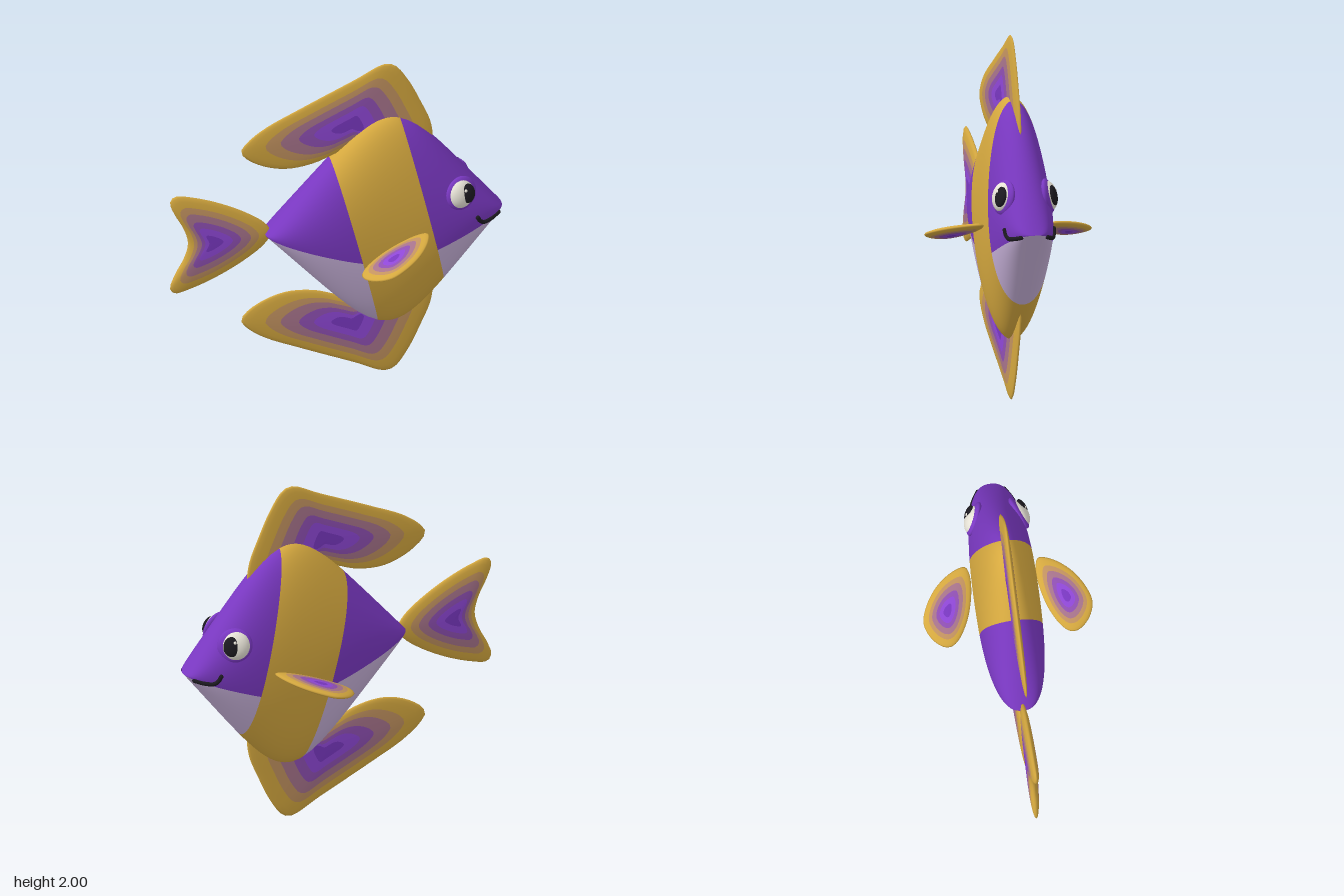
import * as THREE from 'three';

const mat = (name, color) => Object.assign(new THREE.MeshStandardMaterial({ color }), { name });
const gold = mat('gold', 0xd6a93f);
const tan = mat('tan', 0xc39360);
const mauve = mat('mauve', 0xa8748c);
const violet = mat('violet', 0x9050b4);
const bright = mat('brightPurple', 0x9048d8);
const purple = mat('purple', 0x7a38c2);
const lavender = mat('lavender', 0xc6b0d8);
const white = mat('eyeWhite', 0xe8e4d8);
const black = mat('black', 0x1c1a20);

function mesh(name, geometry, material) {
  const m = new THREE.Mesh(geometry, material);
  m.name = name;
  return m;
}

// Skin over closed rows of points; colourOf(i, j) picks the material of each cell
function loft(name, rows, colourOf) {
  const n = rows[0].length, buckets = new Map();
  for (let i = 0; i < rows.length - 1; i++) {
    for (let j = 0; j < n; j++) {
      const k = (j + 1) % n, m = colourOf(i, j);
      if (!buckets.has(m)) buckets.set(m, []);
      const a = i * n + j, b = a + n, c = (i + 1) * n + k, d = i * n + k;
      buckets.get(m).push(a, b, c, a, c, d);
    }
  }
  const geo = new THREE.BufferGeometry().setFromPoints(rows.flat());
  const index = [], materials = [...buckets.keys()];
  materials.forEach((m, g) => {
    const list = buckets.get(m);
    geo.addGroup(index.length, list.length, g);
    for (const v of list) index.push(v);
  });
  geo.setIndex(index);
  geo.computeVertexNormals();
  return mesh(name, geo, materials);
}

// Body profile: rounded diamond from the side, blunt oval from the top
const TAIL = -0.4, NOSE = 0.92, MID_Y = 1;
function height(x) {
  const a = 1.18 * (x - TAIL), b = 1.32 * (NOSE - x), p = 3.27;
  if (a <= 1e-6 || b <= 1e-6) return 0;
  return Math.pow(Math.pow(a, -p) + Math.pow(b, -p), -1 / p);
}
function width(x) {
  const u = Math.min(1, Math.abs((x - 0.26) / 0.66));
  return 0.175 * Math.pow(1 - Math.pow(u, 2.5), 0.4);
}
const sideZ = (x, y) => width(x) * Math.sqrt(Math.max(0, 1 - ((y - MID_Y) / height(x)) ** 2));

function makeBody() {
  // Angles round the body, with breaks where the pale belly starts
  const belly = Math.asin(0.3), upper = 48, lower = 36, angles = [];
  for (let j = 0; j < upper; j++) angles.push(-belly + (Math.PI + 2 * belly) * j / upper);
  for (let j = 0; j < lower; j++) angles.push(Math.PI + belly + (Math.PI - 2 * belly) * j / lower);
  // Slanted edges of the gold band
  const edge = (x0, slope, sin) => {
    let x = x0;
    for (let k = 0; k < 30; k++) x = x0 - slope * height(x) * sin;
    return x;
  };
  const N = 22, rows = [];
  for (let i = 0; i <= 3 * N; i++) {
    rows.push(angles.map((t) => {
      const s = Math.sin(t), xl = edge(0.07, 0.24, s), xr = edge(0.495, 0.22, s);
      const f = i / N;
      let x;
      if (f <= 1) x = TAIL + (xl - TAIL) * f ** 2;
      else if (f <= 2) x = xl + (xr - xl) * (f - 1);
      else x = NOSE - (NOSE - xr) * (3 - f) ** 2;
      return new THREE.Vector3(x, MID_Y + height(x) * s, width(x) * Math.cos(t));
    }));
  }
  return loft('body', rows, (i, j) => (i >= N && i < 2 * N ? gold : j < upper ? purple : lavender));
}

// Thin domed fin with nested colour rings shrinking towards its centre
const RINGS = [0, 0.17, 0.33, 0.47, 0.64, 0.78, 0.9, 0.97, 1];
const RING_COLOURS = [purple, bright, violet, mauve, tan, gold, gold, gold];
function makeFin(name, points, cx, cy, thick) {
  const curve = new THREE.CatmullRomCurve3(points.map(([x, y]) => new THREE.Vector3(x - cx, y - cy, 0)), true);
  const outline = curve.getSpacedPoints(72).slice(0, -1);
  if (THREE.ShapeUtils.area(outline) < 0) outline.reverse();
  const ring = (s, side) => outline.map((p) =>
    new THREE.Vector3(p.x * s, p.y * s, side * thick * Math.sqrt(1 - s ** 2.5)));
  const rows = [...RINGS.map((s) => ring(s, 1)), ...RINGS.slice(0, -1).reverse().map((s) => ring(s, -1))];
  const last = RING_COLOURS.length - 1;
  const fin = loft(name, rows, (i) => RING_COLOURS[i <= last ? i : 2 * last + 1 - i]);
  fin.position.set(cx, cy, 0);
  return fin;
}

const DORSAL = [[0.27, 2.0], [0.1, 1.92], [-0.2, 1.78], [-0.4, 1.68], [-0.5, 1.6], [-0.53, 1.55],
  [-0.5, 1.5], [-0.4, 1.435], [-0.27, 1.4], [-0.12, 1.415], [0, 1.46], [0.15, 1.51], [0.3, 1.43],
  [0.45, 1.39], [0.53, 1.45], [0.53, 1.57], [0.47, 1.73], [0.4, 1.88], [0.325, 1.985]];
const TAIL_HALF = [[-0.4, 0.07], [-0.5, 0.15], [-0.65, 0.235], [-0.8, 0.295], [-0.9, 0.315],
  [-0.925, 0.28], [-0.9, 0.2], [-0.85, 0.1]];
const PECTORAL = [[0.465, 0.2], [0.45, 0.27], [0.38, 0.37], [0.28, 0.44], [0.2, 0.462], [0.12, 0.43],
  [0.07, 0.37], [0.067, 0.325], [0.1, 0.28], [0.2, 0.22], [0.34, 0.182], [0.43, 0.182]];

function makePectoral(side) {
  const pivot = new THREE.Group();
  pivot.name = side > 0 ? 'leftSideFin' : 'rightSideFin';
  const fin = makeFin('sideFin', PECTORAL.map(([x, z]) => [(x - 0.25) * 1.05, -side * (z - 0.325)]), 0, 0, 0.022);
  fin.rotation.x = -Math.PI / 2;
  pivot.add(fin);
  pivot.position.set(0.25, 0.925, side * 0.325);
  pivot.rotation.z = 0.31;
  return pivot;
}

function makeEye(side) {
  const eye = new THREE.Group();
  eye.name = side > 0 ? 'leftEye' : 'rightEye';
  const ball = (name, m, x, y, z, rx, ry, rz) => {
    const b = mesh(name, new THREE.SphereGeometry(1, 28, 20), m);
    b.position.set(side * x, y, z);
    b.scale.set(rx, ry, rz);
    eye.add(b);
  };
  ball('eyeSocket', purple, 0, 0, 0, 0.096, 0.096, 0.03);
  ball('eyeWhite', white, -0.005, 0, 0, 0.08, 0.084, 0.05);
  ball('pupil', black, 0.02, 0, 0.034, 0.046, 0.056, 0.021);
  ball('eyeGlint', white, 0.003, 0.024, 0.047, 0.01, 0.01, 0.008);
  eye.position.set(0.668, 1.175, side * 0.122);
  eye.lookAt(eye.position.clone().add(new THREE.Vector3(0.35, 0.22, side * 0.9)));
  return eye;
}

function makeSmile(side) {
  const path = [[0.757, 1.01], [0.772, 0.983], [0.795, 0.968], [0.84, 0.972], [0.888, 0.985]]
    .map(([x, y]) => new THREE.Vector3(x, y, side * (sideZ(x, y) + 0.003)));
  const smile = new THREE.Group();
  smile.name = side > 0 ? 'leftSmile' : 'rightSmile';
  smile.add(mesh('mouthLine', new THREE.TubeGeometry(new THREE.CatmullRomCurve3(path), 24, 0.012, 8), black));
  for (const end of [path[0], path[path.length - 1]]) {
    const cap = mesh('mouthEnd', new THREE.SphereGeometry(0.012, 10, 8), black);
    cap.position.copy(end);
    smile.add(cap);
  }
  return smile;
}

export function createModel() {
  const fish = new THREE.Group();
  fish.name = 'fish';
  fish.add(makeBody());

  // Top fin, and the same fin turned over underneath
  fish.add(makeFin('topFin', DORSAL, 0.07, 1.64, 0.022));
  const bottomFin = makeFin('bottomFin', DORSAL, 0.07, 1.64, 0.022);
  bottomFin.position.y = 2 * MID_Y - 1.64;
  bottomFin.rotation.x = Math.PI;
  fish.add(bottomFin);

  // Tail fin, mirrored about the body's middle line
  const tail = [[-0.36, 0], ...TAIL_HALF, [-0.825, 0], ...TAIL_HALF.map(([x, y]) => [x, -y]).reverse()];
  fish.add(makeFin('tailFin', tail.map(([x, y]) => [x, y + MID_Y]), -0.69, MID_Y, 0.03));

  for (const side of [1, -1]) fish.add(makePectoral(side), makeEye(side), makeSmile(side));
  return fish;
}
